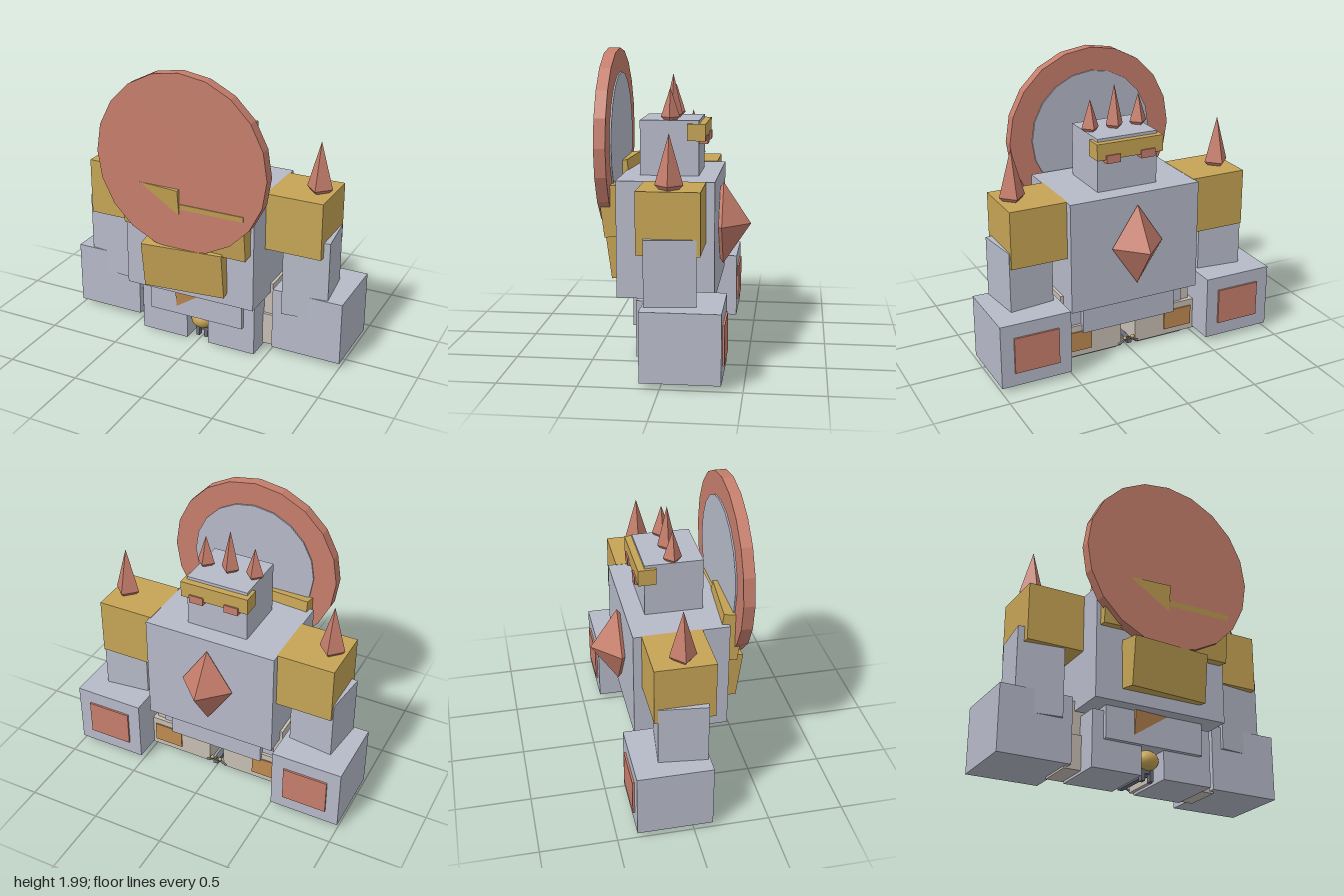
import * as THREE from 'three';

const mat = (name, color) => new THREE.MeshStandardMaterial({ name, color });

export function createModel() {
  const root = new THREE.Group();
  root.name = 'armouredRobot';
  const steel = mat('steelGrey', 0xb6bac8);
  const gold = mat('gold', 0xc6a455);
  const red = mat('dustyRed', 0xc67e6c);
  const beige = mat('beige', 0xc6beb4);
  const orange = mat('orange', 0xc08a52);
  const dark = mat('darkSteel', 0x6a6d7a);

  const add = (name, geo, material, x, y, z, rx = 0, ry = 0, rz = 0) => {
    const m = new THREE.Mesh(geo, material);
    m.name = name;
    m.position.set(x, y, z);
    m.rotation.set(rx, ry, rz);
    root.add(m);
    return m;
  };
  // box from its min and max on each axis
  const box = (name, material, x0, x1, y0, y1, z0, z1) =>
    add(name, new THREE.BoxGeometry(x1 - x0, y1 - y0, z1 - z0), material,
      (x0 + x1) / 2, (y0 + y1) / 2, (z0 + z1) / 2);
  // the same box on both sides
  const pair = (name, material, x0, x1, ...rest) => {
    box(name + 'Left', material, x0, x1, ...rest);
    box(name + 'Right', material, -x1, -x0, ...rest);
  };
  // four-sided spike with a short tapered foot
  const spike = (name, x, z, base, waist, tip, r) => {
    const pts = [[0, base], [r * 0.7, base], [r, waist], [0, tip]].map(p => new THREE.Vector2(...p));
    const g = new THREE.LatheGeometry(pts, 4).toNonIndexed();
    g.computeVertexNormals();
    add(name, g, red, x, 0, z);
  };

  // torso and head
  box('torso', steel, -0.467, 0.467, 0.41, 1.17, -0.285, 0.345);
  box('pelvis', steel, -0.347, 0.347, 0.195, 0.415, -0.2, 0.255);
  box('head', steel, -0.215, 0.215, 1.165, 1.53, -0.16, 0.225);
  box('visor', gold, -0.238, 0.238, 1.4, 1.51, -0.205, -0.085);
  pair('eye', red, 0.075, 0.175, 1.375, 1.43, -0.215, -0.15);
  spike('headSpikeCentre', 0, 0.03, 1.53, 1.55, 1.82, 0.062);
  for (const s of [-1, 1]) spike('headSpike', s * 0.175, 0.03, 1.53, 1.55, 1.74, 0.062);

  // faceted gem on the chest
  const gem = add('chestGem', new THREE.OctahedronGeometry(1), red, 0, 0.822, -0.308);
  gem.scale.set(0.185, 0.278, 0.185);

  // shoulders, arms and fists
  pair('shoulder', gold, 0.46, 0.853, 0.782, 1.172, -0.23, 0.163);
  pair('fist', steel, 0.512, 1.0, 0.035, 0.475, -0.37, 0.125);
  pair('fistPlate', red, 0.6, 0.91, 0.13, 0.38, -0.383, -0.365);
  for (const s of [-1, 1]) {
    add('arm', new THREE.BoxGeometry(0.312, 0.565, 0.32), steel, s * 0.722, 0.6025, -0.031, 0, s * 0.113);
    spike('shoulderSpike', s * 0.755, -0.03, 1.17, 1.197, 1.51, 0.088);
  }

  // legs, with beige side blocks
  pair('leg', steel, 0.08, 0.425, 0.005, 0.382, -0.16, 0.225);
  pair('sideFoot', beige, 0.055, 0.54, 0.022, 0.25, -0.18, 0.08);
  pair('sideShin', beige, 0.2, 0.487, 0.25, 0.478, -0.15, 0.06);
  pair('sidePlate', orange, 0.28, 0.49, 0.065, 0.205, -0.189, -0.17);

  // large round disc with an inset face
  const disc = (name, material, r, z0, z1) =>
    add(name, new THREE.CylinderGeometry(r, r, z1 - z0, 20).toNonIndexed(), material,
      0, 1.388, (z0 + z1) / 2, Math.PI / 2).geometry.computeVertexNormals();
  disc('disc', red, 0.598, 0.385, 0.46);
  disc('discInset', steel, 0.44, 0.375, 0.39);

  // tilted armour plates behind the disc
  const tilt = 0.13;
  const plate = (name, material, w, h, d, x, y, z, yaw) =>
    add(name, new THREE.BoxGeometry(w, h, d), material, x, y, z, tilt, yaw);
  plate('upperPlateRight', gold, 0.44, 0.34, 0.14, -0.22, 1.065, 0.374, -0.083);
  plate('upperPlateLeft', gold, 0.445, 0.33, 0.14, 0.222, 0.97, 0.374, 0);
  plate('lowerPlate', gold, 0.56, 0.325, 0.15, 0, 0.657, 0.377, 0.09);
  plate('pelvisPlate', orange, 0.3, 0.3, 0.1, 0, 0.36, 0.206, 0.087);

  // small hanging ornament between the legs
  const ball = add('ornamentBall', new THREE.SphereGeometry(0.08, 24, 16), gold, 0, 0.135, 0.14);
  ball.scale.y = 0.83;
  for (const s of [-1, 1]) {
    box('ornamentPost', dark, s * 0.03 - 0.012, s * 0.03 + 0.012, 0, 0.075, 0.12, 0.16);
    add('ornamentProng', new THREE.CylinderGeometry(0.008, 0.008, 0.09, 8), dark, s * 0.035, 0.05, -0.18, 0, 0, s * 1.1);
    add('ornamentTip', new THREE.SphereGeometry(0.014, 10, 8), gold, s * 0.03, 0.075, -0.19);
  }
  box('ornamentCrossbar', dark, -0.045, 0.045, 0.05, 0.07, 0.125, 0.155);
  box('ornamentRod', dark, -0.018, 0.018, 0.035, 0.065, -0.2, 0.13);

  return root;
}
